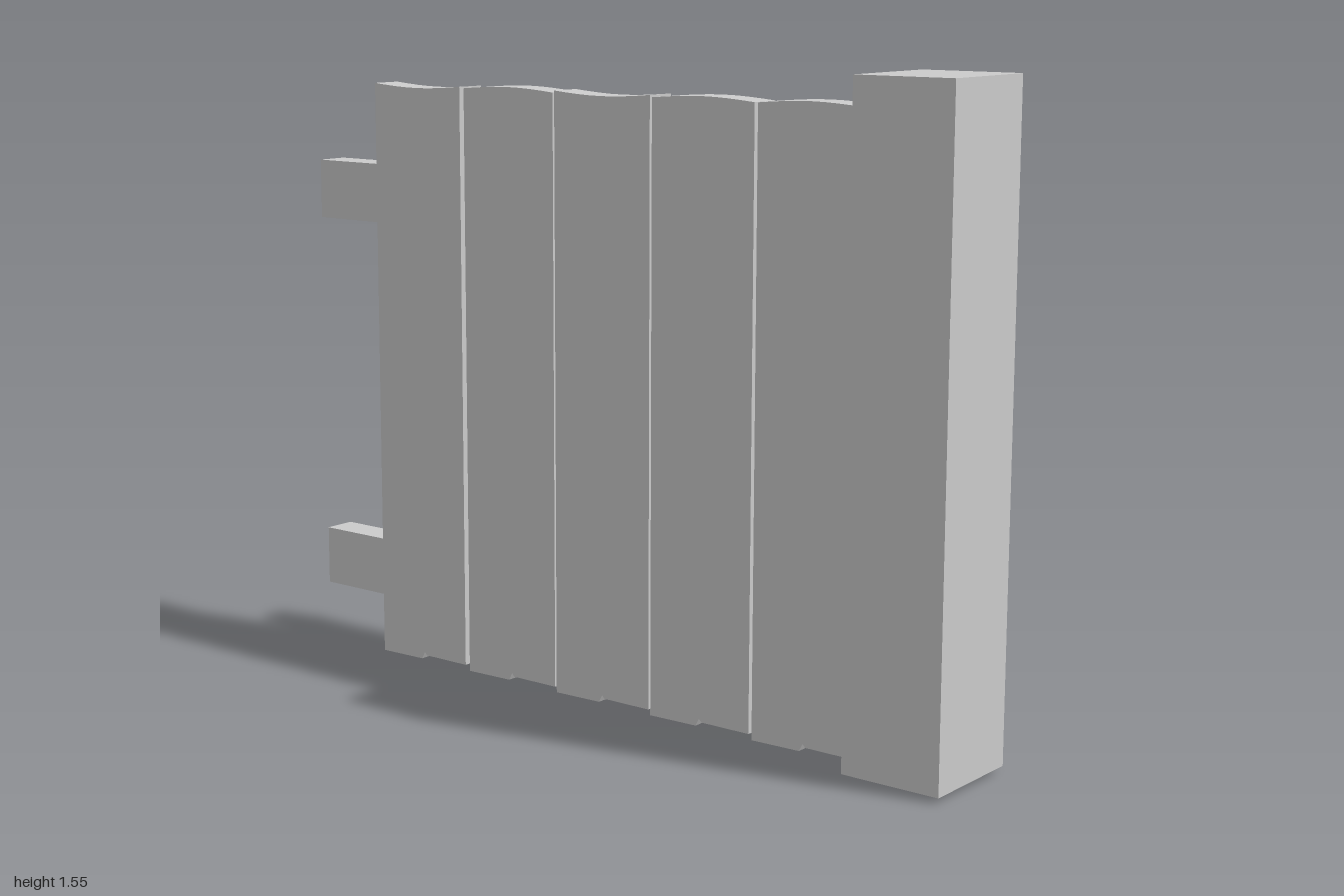
import * as THREE from 'three';

const material = new THREE.MeshStandardMaterial({ color: 0xcccccc, flatShading: true });

// Box given by its min and max corners
function box(name, [x0, y0, z0], [x1, y1, z1]) {
  const geo = new THREE.BoxGeometry(x1 - x0, y1 - y0, z1 - z0);
  geo.translate((x0 + x1) / 2, (y0 + y1) / 2, (z0 + z1) / 2);
  const mesh = new THREE.Mesh(geo, material);
  mesh.name = name;
  return mesh;
}

// Upright board with a gently bowed top and a chipped, stepped foot
function plank(name, zFront, zBack, top, bow) {
  const u0 = -zFront, u1 = -zBack, mid = (u0 + u1) / 2;
  const shape = new THREE.Shape();
  shape.moveTo(u0, 0.013);
  shape.lineTo(mid - 0.008, 0.013);
  shape.lineTo(mid - 0.001, 0.021);
  shape.lineTo(mid + 0.009, 0.002);
  shape.lineTo(u1, 0.0);
  const steps = 8;
  for (let i = 0; i <= steps; i++) {
    const t = i / steps;
    shape.lineTo(u1 + (u0 - u1) * t, top + bow * Math.sin(Math.PI * t));
  }
  shape.closePath();
  const geo = new THREE.ExtrudeGeometry(shape, { depth: 0.08, bevelEnabled: false });
  geo.rotateY(Math.PI / 2);
  geo.translate(-0.042, 0, 0);
  const mesh = new THREE.Mesh(geo, material);
  mesh.name = name;
  return mesh;
}

export function createModel() {
  const model = new THREE.Group();
  model.name = 'fenceSection';

  // Square end post
  model.add(box('post', [-0.138, 0.012, 0.75], [0.135, 1.547, 1]));

  // Two horizontal rails running back from the post
  model.add(box('lowerRail', [0.015, 0.13, -1], [0.097, 0.28, 0.752]));
  model.add(box('upperRail', [0.015, 1.115, -1], [0.097, 1.265, 0.752]));

  // Five boards: front edge, back edge, top height, bow of the top
  const boards = [
    [0.722, 0.438, 1.472, 0.008],
    [0.429, 0.140, 1.472, 0.008],
    [0.134, -0.153, 1.477, -0.008],
    [-0.158, -0.442, 1.472, 0.008],
    [-0.456, -0.742, 1.475, -0.008],
  ];
  boards.forEach((b, i) => model.add(plank('plank' + (i + 1), ...b)));

  return model;
}
